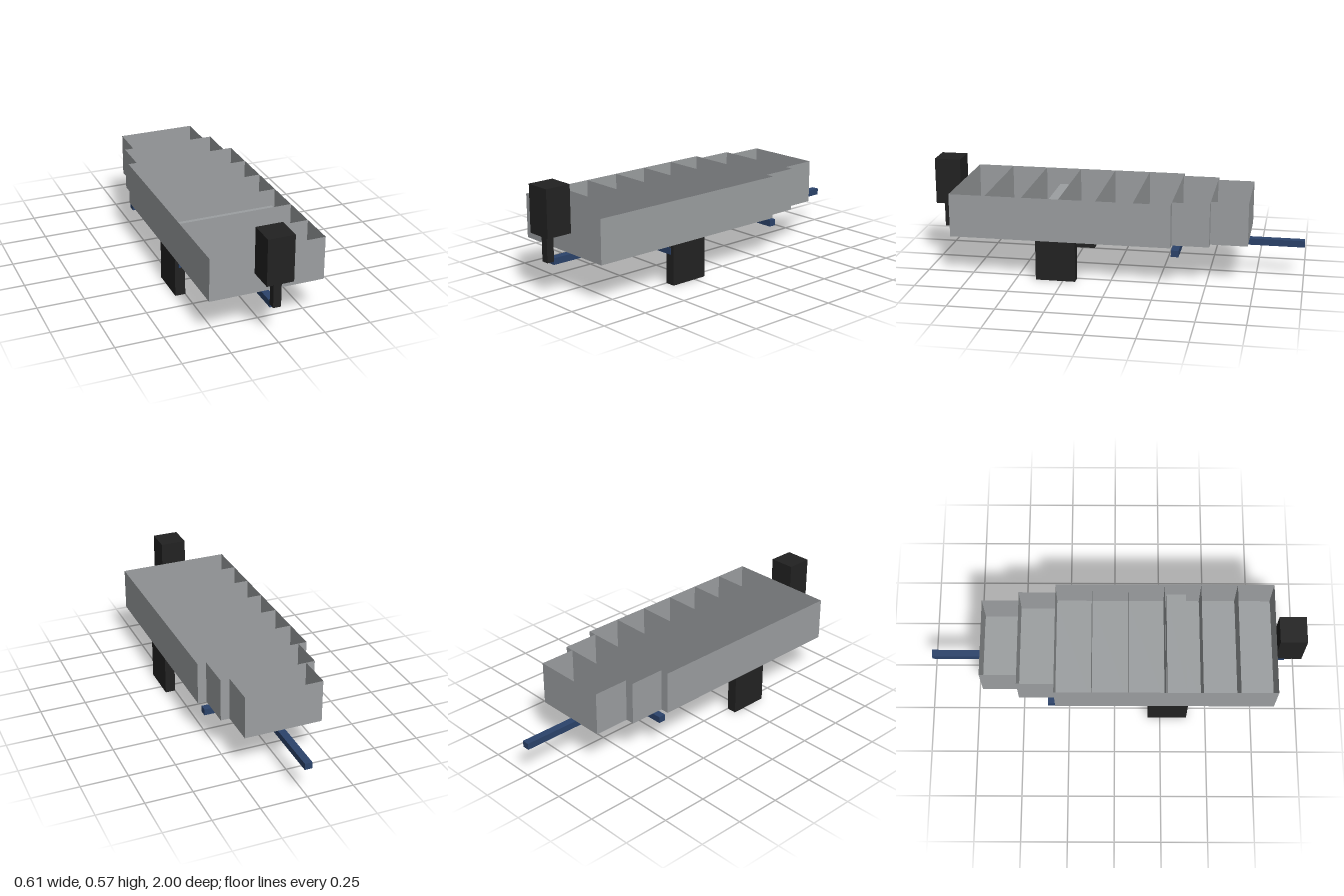
import * as THREE from 'three';

export function createModel() {
  const model = new THREE.Group();
  const grey = new THREE.MeshStandardMaterial({ color: 0x9c9fa1, side: THREE.DoubleSide });
  grey.name = 'panel grey';
  const black = new THREE.MeshStandardMaterial({ color: 0x222222 });
  black.name = 'black';
  const blue = new THREE.MeshStandardMaterial({ color: 0x2b436b });
  blue.name = 'frame blue';

  // Box given by its lower and upper limits on each axis
  function box(name, material, [x0, x1], [y0, y1], [z0, z1]) {
    const mesh = new THREE.Mesh(new THREE.BoxGeometry(x1 - x0, y1 - y0, z1 - z0), material);
    mesh.position.set((x0 + x1) / 2, (y0 + y1) / 2, (z0 + z1) / 2);
    mesh.name = name;
    model.add(mesh);
  }

  // Thin upright or flat panel
  function panel(name, width, height, x, y, z, rx = 0, ry = 0) {
    const mesh = new THREE.Mesh(new THREE.PlaneGeometry(width, height), grey);
    mesh.position.set(x, y, z);
    mesh.rotation.set(rx, ry, 0);
    mesh.name = name;
    model.add(mesh);
  }

  // Row of eight open compartments, narrowing in two steps at the back
  const bottom = 0.215, top = 0.448, front = 0.857, depth = 0.196;
  const height = top - bottom, middle = (top + bottom) / 2;
  const halfWidths = [0.305, 0.305, 0.305, 0.305, 0.305, 0.305, 0.258, 0.21];
  panel('frontWall', 0.61, height, 0, middle, front);
  halfWidths.forEach((half, i) => {
    const z0 = front - (i + 1) * depth, zMid = z0 + depth / 2;
    for (const side of [-1, 1]) {
      panel('sideWall', depth, height, side * half, middle, zMid, 0, side * Math.PI / 2);
    }
    panel(i === 7 ? 'backWall' : 'partition', half * 2, height, 0, middle, z0, 0, Math.PI);
    panel('floor', half * 2, depth, 0, bottom, zMid, Math.PI / 2);
    panel('floorLiner', half * 2 - 0.04, depth, 0, bottom + 0.015, zMid, -Math.PI / 2);
  });

  // Block lying in the third compartment
  box('innerBlock', grey, [-0.285, 0.285], [bottom + 0.015, 0.36], [0.28, 0.385]);

  // Frame: long spine with two cross beams
  const beamY = [0.162, 0.197];
  box('spine', blue, [-0.02, 0.02], beamY, [-1, 0.93]);
  box('frontCrossBeam', blue, [-0.286, 0.286], beamY, [0.36, 0.4]);
  box('rearCrossBeam', blue, [-0.286, 0.286], beamY, [-0.36, -0.32]);

  // Support legs
  box('leftLeg', black, [0.25, 0.305], [0, 0.214], [0.183, 0.395]);
  box('rightLeg', black, [-0.305, -0.25], [0, 0.214], [0.183, 0.395]);

  // Front head on its post
  box('headPost', black, [-0.021, 0.021], [0.18, 0.323], [0.93, 0.97]);
  box('head', black, [-0.071, 0.071], [0.323, 0.573], [0.859, 1]);

  return model;
}
